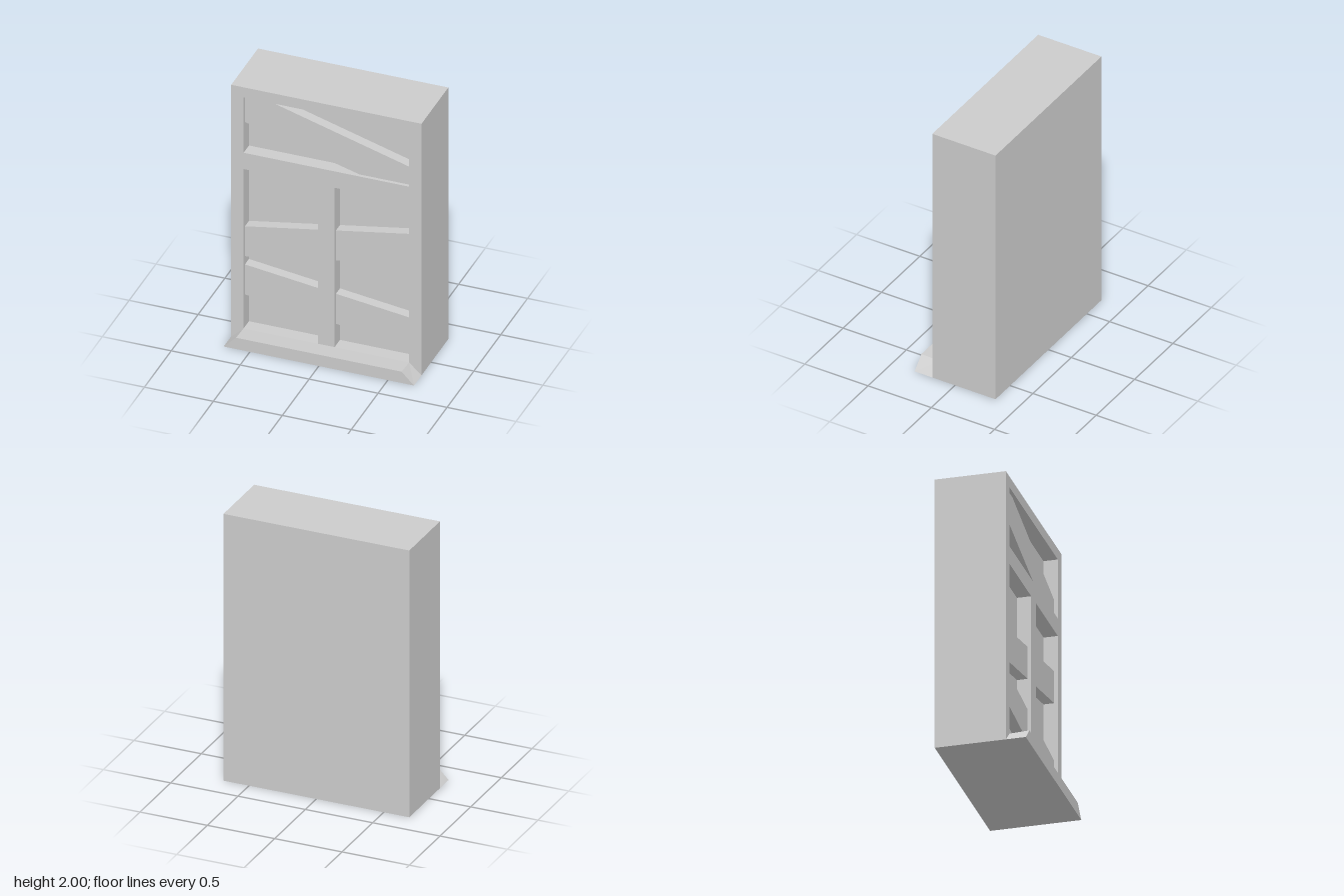
import * as THREE from 'three';

const material = new THREE.MeshStandardMaterial({ color: 0xcccccc, flatShading: true });

// Outline through a few points
function outline(points, Type = THREE.Shape) {
  return new Type(points.map(([x, y]) => new THREE.Vector2(x, y)));
}

const rect = (x0, y0, x1, y1) => [[x0, y0], [x1, y0], [x1, y1], [x0, y1]];

// Flat panel extruded between two depths
function panel(name, shape, zBack, zFront) {
  const geometry = new THREE.ExtrudeGeometry(shape, { depth: zFront - zBack, bevelEnabled: false });
  geometry.translate(0, 0, zBack);
  const mesh = new THREE.Mesh(geometry, material);
  mesh.name = name;
  return mesh;
}

export function createModel() {
  const group = new THREE.Group();
  group.name = 'boardedWindow';

  const W = 0.69, H = 2, inner = 0.6, mullion = 0.06;
  const zBack = -0.32, zRecess = 0.08, zPlank = 0.155, zFace = 0.18, zSill = 0.32;
  const sillBack = 0.083, sillFront = 0.09;

  // Solid block behind the openings
  group.add(panel('backBlock', outline(rect(-W, 0, W, H)), zBack, zRecess));

  // Frame with one wide opening above two tall ones
  const frame = outline(rect(-W, 0, W, H));
  frame.holes = [
    rect(-inner, 1.48, inner, 1.92),
    rect(-inner, sillBack, -mullion, 1.35),
    rect(mullion, sillBack, inner, 1.35),
  ].map((points) => outline(points, THREE.Path));
  group.add(panel('frame', frame, zRecess, zFace));

  // Slanted planks nailed across the openings
  const planks = {
    upperPlank: [[-inner, 1.71], [0.23, 1.48], [inner, 1.48], [inner, 1.62], [-0.44, 1.92], [-inner, 1.92]],
    middlePlank: [[-inner, 0.643], [inner, 0.852], [inner, 1.09], [-inner, 0.881]],
    lowerPlank: [[-inner, 0.339], [inner, 0.184], [inner, 0.423], [-inner, 0.578]],
  };
  for (const [name, points] of Object.entries(planks)) {
    group.add(panel(name, outline(points), zRecess, zPlank));
  }

  // Sill with sloping ends, its top slightly lower at the wall
  const sill = panel('sill', outline([[-W, 0], [W, 0], [inner, sillFront], [-inner, sillFront]]), zFace, zSill);
  const p = sill.geometry.attributes.position;
  for (let i = 0; i < p.count; i++) {
    if (p.getY(i) > 0.01 && p.getZ(i) < zFace + 0.01) p.setY(i, sillBack);
  }
  sill.geometry.computeVertexNormals();
  group.add(sill);

  return group;
}
